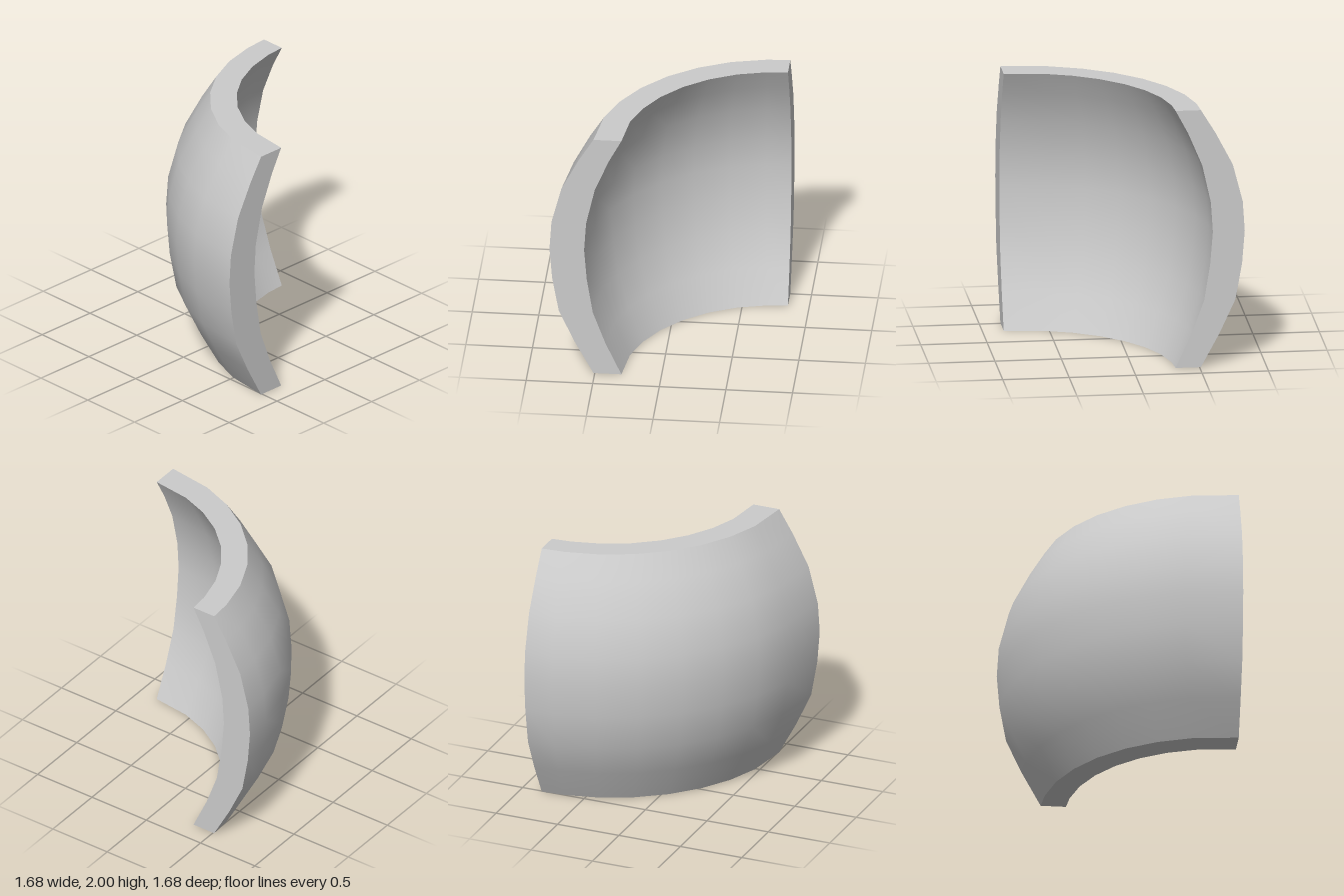
import * as THREE from 'three';
import { toCreasedNormals } from 'three/addons/utils/BufferGeometryUtils.js';

export function createModel() {
  const group = new THREE.Group();
  group.name = 'curvedShellSegment';

  // Wall cross-section: [height, outer radius, inner radius] about a vertical axis
  const rows = [
    [0, 1.35, 1.14], [0.26, 1.49, 1.26], [0.52, 1.61, 1.355],
    [0.8, 1.66, 1.40], [1.05, 1.68, 1.42], [1.28, 1.665, 1.405],
    [1.57, 1.59, 1.34], [1.82, 1.46, 1.235], [2, 1.35, 1.14],
  ];
  const axis = 0.84;
  const angles = [0, 15, 26.25, 37.5, 48.75, 60, 71.25, 82.5, 90];
  const n = rows.length, loop = 2 * n;

  // Closed section, up the outside and down the inside, swept a quarter turn
  const positions = [], index = [];
  for (const degrees of angles) {
    const t = THREE.MathUtils.degToRad(degrees);
    const put = (r, y) => positions.push(axis - r * Math.cos(t), y, axis - r * Math.sin(t));
    for (const [y, outer] of rows) put(outer, y);
    for (const [y, , inner] of [...rows].reverse()) put(inner + 0.02 * degrees / 90, y);
  }
  const quad = (a, b, c, d) => index.push(a, b, c, a, c, d);
  for (let i = 0; i < angles.length - 1; i++) {
    for (let j = 0; j < loop; j++) {
      const k = (j + 1) % loop, a = i * loop, b = a + loop;
      quad(a + j, a + k, b + k, b + j);
    }
  }

  // Flat cut faces at both ends
  const end = (angles.length - 1) * loop;
  for (let j = 0; j < n - 1; j++) {
    const inner = loop - 1 - j;
    quad(j, inner, inner - 1, j + 1);
    quad(end + j, end + j + 1, end + inner - 1, end + inner);
  }

  const geometry = new THREE.BufferGeometry();
  geometry.setAttribute('position', new THREE.Float32BufferAttribute(positions, 3));
  geometry.setIndex(index);
  const shell = new THREE.Mesh(
    toCreasedNormals(geometry, 0.5),
    new THREE.MeshStandardMaterial({ color: 0xcccccc })
  );
  shell.name = 'curvedWall';
  group.add(shell);
  return group;
}
